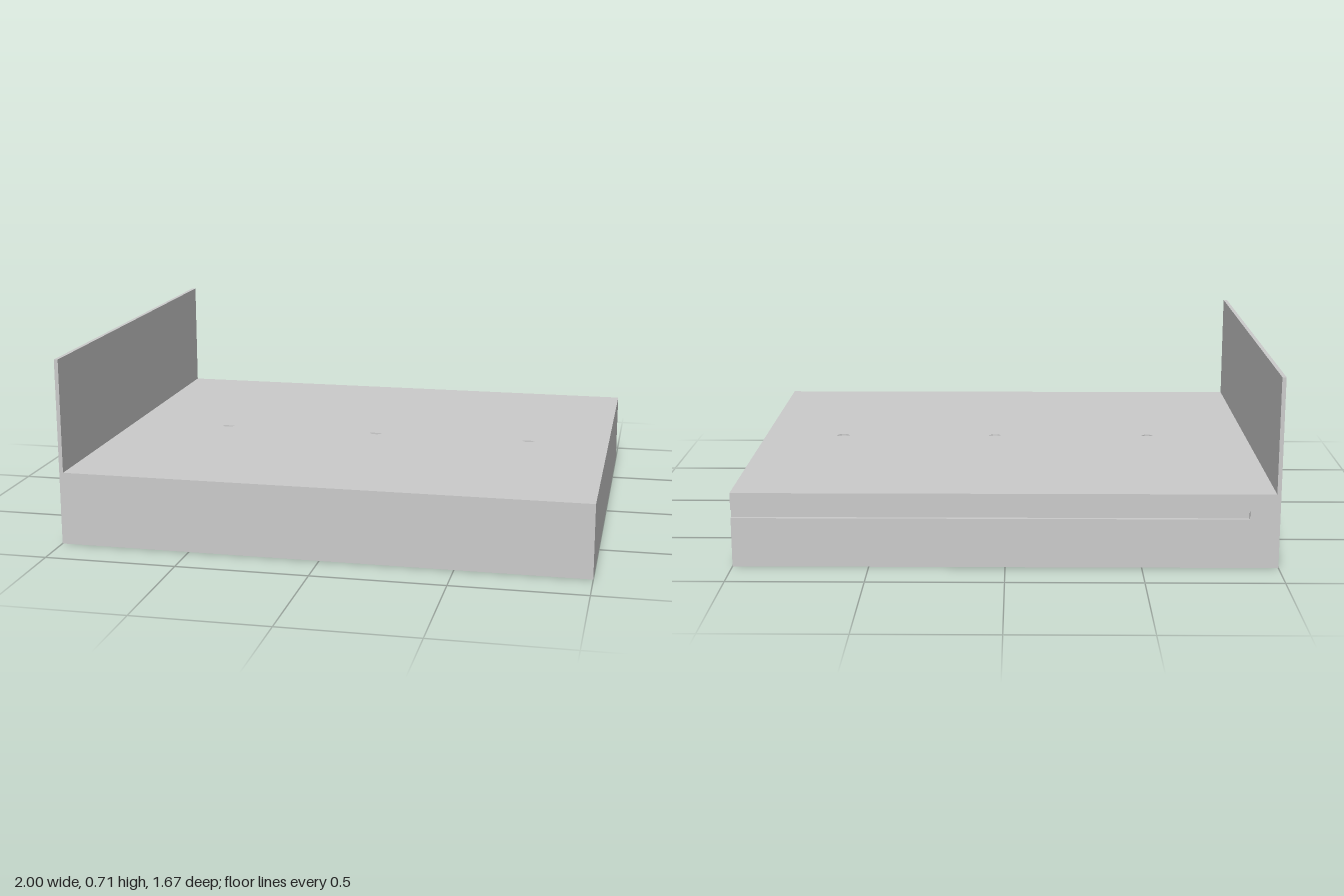
import * as THREE from 'three';

const T = 0.015;          // board thickness
const H = 0.28;           // platform height
const X0 = -1, X1 = 1, Z = 0.835;
const UNDER = H - T;      // underside of the deck

export function createModel() {
  const bed = new THREE.Group();
  bed.name = 'platformBed';
  const mat = new THREE.MeshStandardMaterial({ color: 0xcccccc, flatShading: true });

  const add = (name, geometry) => {
    const mesh = new THREE.Mesh(geometry, mat);
    mesh.name = name;
    bed.add(mesh);
    return mesh;
  };
  // Box given by its limits on each axis
  const board = (name, xa, xb, ya, yb, za, zb) => {
    const m = add(name, new THREE.BoxGeometry(xb - xa, yb - ya, zb - za));
    m.position.set((xa + xb) / 2, (ya + yb) / 2, (za + zb) / 2);
    return m;
  };

  // Headboard
  board('headboard', X0, X0 + T, 0, 0.714, -Z, Z);

  // Deck with three finger holes
  const deck = new THREE.Shape([
    [X0 + T, -Z], [X1, -Z], [X1, Z], [X0 + T, Z],
  ].map(([x, z]) => new THREE.Vector2(x, -z)).reverse());
  for (const x of [-0.58, 0.05, 0.68]) {
    const pts = [[-0.025, 0.01], [0.025, 0.01], [0.022, 0.021], [0.01, 0.034], [-0.01, 0.034], [-0.022, 0.021]];
    deck.holes.push(new THREE.Path(pts.map(([dx, z]) => new THREE.Vector2(x + dx, -z))));
  }
  const deckGeo = new THREE.ExtrudeGeometry(deck, { depth: T, bevelEnabled: false });
  deckGeo.rotateX(-Math.PI / 2);
  add('deck', deckGeo).position.y = UNDER;

  // Outer walls
  board('frontWall', X0 + T, X1, 0, UNDER, Z - T, Z);
  board('footWall', X1 - T, X1, 0, UNDER, -Z + T, Z - T);

  // Back wall with a long groove open at the foot end
  const gx = -0.89, gLow = 0.185, gHigh = 0.216;
  board('backWallLower', X0 + T, X1, 0, gLow, -Z, -Z + T);
  board('backWallUpper', X0 + T, X1, gHigh, UNDER, -Z, -Z + T);
  board('backWallEnd', X0 + T, gx, gLow, gHigh, -Z, -Z + T);
  board('grooveBacking', gx, X1, gLow - 0.005, gHigh + 0.005, -Z + T, -Z + T + 0.004);

  // Central spine and cross dividers
  const h = T / 2;
  const dividers = [0.365, -0.265, -0.895];
  board('spine', X0 + T, X1 - T, 0, UNDER, -h, h);
  for (const x of dividers) {
    for (const s of [-1, 1]) {
      board('crossDivider', x - h, x + h, 0, UNDER, s < 0 ? -Z + T : h, s < 0 ? -h : Z - T);
    }
  }

  // Cleats carrying the deck along the spine and dividers of each bay
  const cleatLow = 0.205;
  const bounds = [X1 - T + h, ...dividers];
  for (let i = 0; i < 3; i++) {
    const xa = bounds[i + 1] + h, xb = bounds[i] - h;
    for (const s of [-1, 1]) {
      const za = s < 0 ? -Z + T : h, zb = s < 0 ? -h : Z - T;
      board('dividerCleat', xa, xa + T, cleatLow, UNDER, za, zb);
      board('spineCleat', xa + T, xb, cleatLow, UNDER, s < 0 ? -h - T : h, s < 0 ? -h : h + T);
    }
  }

  // Storage box in the bay next to the headboard
  const bx0 = -0.88, bx1 = -0.4, bz0 = 0.27, bz1 = 0.81, bTop = 0.1;
  board('storageBoxBottom', bx0, bx1, 0.004, 0.004 + T, bz0, bz1);
  board('storageBoxBack', bx0, bx1, 0.004 + T, bTop, bz0, bz0 + T);
  board('storageBoxFront', bx0, bx1, 0.004 + T, bTop, bz1 - T, bz1);
  board('storageBoxHeadSide', bx0, bx0 + T, 0.004 + T, bTop, bz0 + T, bz1 - T);

  // Foot side of the box with a long hand slot
  const side = new THREE.Shape([
    new THREE.Vector2(-bz1 + T, 0.004 + T), new THREE.Vector2(-bz0 - T, 0.004 + T),
    new THREE.Vector2(-bz0 - T, bTop), new THREE.Vector2(-bz1 + T, bTop),
  ]);
  side.holes.push(new THREE.Path([
    [-0.73, 0.045], [-0.73, 0.075], [-0.33, 0.075], [-0.33, 0.045],
  ].map(([a, b]) => new THREE.Vector2(a, b))));
  const sideGeo = new THREE.ExtrudeGeometry(side, { depth: T, bevelEnabled: false });
  sideGeo.rotateY(Math.PI / 2);
  add('storageBoxSlottedSide', sideGeo).position.x = bx1 - T;

  // Narrow cover strip behind the headboard
  board('cableCover', X0 + T + 0.01, -0.912, 0.01, 0.01 + T, 0.27, Z - T);

  return bed;
}
